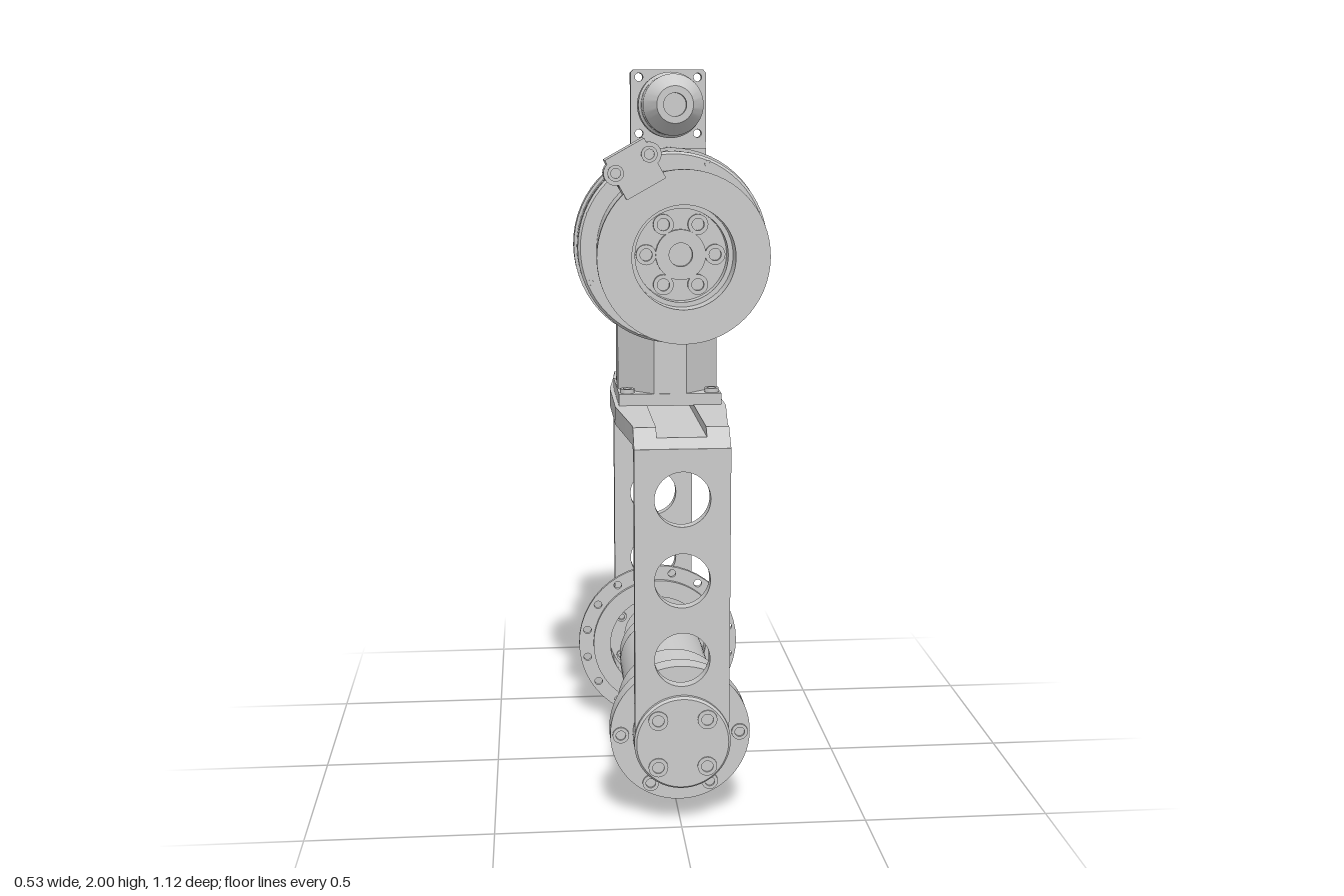
import * as THREE from 'three';
import { toCreasedNormals } from 'three/addons/utils/BufferGeometryUtils.js';

const material = new THREE.MeshStandardMaterial({ color: 0xcccccc });
const UP = 1.53, LOW = 0.25; // heights of the upper and lower axes

function add(parent, name, geometry, x = 0, y = 0, z = 0) {
  const mesh = new THREE.Mesh(toCreasedNormals(geometry, 0.5), material);
  mesh.name = name;
  mesh.position.set(x, y, z);
  parent.add(mesh);
  return mesh;
}

// Solid of revolution about z; points are [radius, z] from back to front
function turned(points, segments = 64) {
  return new THREE.LatheGeometry(points.map(p => new THREE.Vector2(...p)), segments).rotateX(Math.PI / 2);
}

function extrude(shape, depth) {
  return new THREE.ExtrudeGeometry(shape, { depth, bevelEnabled: false, curveSegments: 24 });
}

const poly = pts => new THREE.Shape(pts.map(p => new THREE.Vector2(...p)));

function hole(shape, x, y, r) {
  const path = new THREE.Path();
  path.absarc(x, y, r, 0, Math.PI * 2, true);
  shape.holes.push(path);
}

// Side profile in (z, y), extruded across x and centred on x
const acrossX = (shape, width) => extrude(shape, width).translate(0, 0, -width / 2).rotateY(-Math.PI / 2).scale(1, 1, 1);

// Socket-head bolt pointing to +z
function bolt(parent, x, y, z, r = 0.025, h = 0.012) {
  return add(parent, 'bolt', turned([[0, -0.015], [r, -0.015], [r, h], [r * 0.6, h], [r * 0.6, h - 0.012], [0, h - 0.012]], 20), x, y, z);
}

// Calls fn(x, y, angle) for n places round a circle
function ring(n, r, start, fn) {
  for (let i = 0; i < n; i++) {
    const a = start + (i / n) * Math.PI * 2;
    fn(Math.cos(a) * r, Math.sin(a) * r, a);
  }
}

function buildHead() {
  const g = new THREE.Group();
  g.name = 'upperUnit';
  g.position.y = UP;

  // Drum with a recessed front and a stepped ring behind it
  add(g, 'drum', turned([[0, 0.135], [0.255, 0.135], [0.255, 0.178], [0.247, 0.182], [0.247, 0.188], [0.255, 0.192],
    [0.255, 0.222], [0.248, 0.23], [0.205, 0.23], [0.205, 0.51], [0.217, 0.51], [0.217, 0.532], [0.13, 0.532],
    [0.13, 0.47], [0.118, 0.47], [0.118, 0.43], [0, 0.43]]));
  add(g, 'hub', turned([[0.064, 0.42], [0.064, 0.445], [0.03, 0.445], [0.03, 0.43], [0, 0.43]], 32));
  ring(6, 0.088, 0, (x, y) => bolt(g, x, y, 0.43, 0.026));
  ring(8, 0.24, Math.PI / 8, (x, y) => bolt(g, x, y, 0.222, 0.009, 0.01));

  // Mounting flange, flat at the bottom
  const flange = new THREE.Shape();
  flange.absarc(0, 0, 0.263, -0.947, Math.PI + 0.947, false);
  add(g, 'mountingFlange', extrude(flange, 0.06), 0, 0, 0.075);
  for (const a of [70, 25, -20, 110, 155, 200]) {
    const t = a * Math.PI / 180;
    bolt(g, Math.cos(t) * 0.22, Math.sin(t) * 0.22, 0.075, 0.025).rotation.y = Math.PI;
  }

  // Housing: flat on top, round underneath, bevelled towards the motor
  const housing = new THREE.Shape();
  housing.moveTo(0.1, 0.168);
  housing.lineTo(-0.1, 0.168);
  housing.lineTo(-0.168, 0.09);
  housing.lineTo(-0.168, 0);
  housing.absarc(0, 0, 0.168, Math.PI, Math.PI * 2, false);
  housing.lineTo(0.168, 0.09);
  add(g, 'housing', extrude(housing, 0.29), 0, 0, -0.21);
  add(g, 'housingBevel', turned([[0, -0.245], [0.147, -0.245], [0.168, -0.21], [0, -0.21]]));
  add(g, 'motorCover', turned([[0, -0.56], [0.112, -0.56], [0.128, -0.556], [0.139, -0.545], [0.143, -0.53], [0.143, -0.2]]));
  for (const s of [-1, 1]) {
    const plug = bolt(g, s * 0.122, -0.122, -0.175, 0.018, 0.008);
    plug.rotation.set(Math.PI / 4, s * Math.PI / 2, 0, 'ZYX');
    plug.lookAt(s, -1 + 0, -0.175);
    bolt(g, s * 0.08, 0.168, -0.18, 0.016, 0.006).rotation.x = -Math.PI / 2;
  }

  // Clamp block at the drum's front edge
  const clamp = new THREE.Group();
  clamp.name = 'clamp';
  clamp.rotation.z = 0.51;
  const side = poly([[0.415, 0.195], [0.56, 0.195], [0.56, 0.305], [0.455, 0.305], [0.415, 0.265]]);
  hole(side, 0.485, 0.25, 0.027);
  add(clamp, 'clampBlock', acrossX(side, 0.11));
  for (const x of [-0.047, 0.047]) {
    add(clamp, 'clampLug', turned([[0, 0.5], [0.03, 0.5], [0.03, 0.56], [0, 0.56]], 24), x, 0.265, 0);
    bolt(clamp, x, 0.265, 0.558, 0.02, 0.006);
  }
  g.add(clamp);
  return g;
}

function buildConnector() {
  const g = new THREE.Group();
  g.name = 'connector';
  g.position.y = 1.905;
  const plate = poly([[-0.103, -0.195], [0.103, -0.195], [0.103, 0.087], [0.095, 0.095], [-0.095, 0.095], [-0.103, 0.087]]);
  for (const x of [-0.08, 0.08]) for (const y of [-0.075, 0.075]) hole(plate, x, y, 0.011);
  add(g, 'connectorPlate', extrude(plate, 0.03), 0, 0, 0.04);
  add(g, 'plateFoot', new THREE.BoxGeometry(0.206, 0.08, 0.045), 0, -0.155, 0.055);
  // Tapered plug on both sides of the plate
  add(g, 'plug', turned([[0, -0.07], [0.03, -0.07], [0.03, -0.088], [0.046, -0.088], [0.08, -0.035], [0.08, 0.03],
    [0.073, 0.032], [0.073, 0.088], [0.08, 0.088], [0.087, 0.094], [0.087, 0.144], [0.08, 0.15], [0.073, 0.15],
    [0.073, 0.158], [0.08, 0.16], [0.08, 0.225], [0.048, 0.28], [0.03, 0.28], [0.03, 0.262], [0, 0.262]], 48));
  return g;
}

function buildYoke() {
  const g = new THREE.Group();
  g.name = 'yoke';

  // Legs with three round openings and a rounded foot
  const leg = new THREE.Shape();
  leg.moveTo(0.125, 1.04);
  leg.lineTo(-0.125, 1.04);
  leg.lineTo(-0.125, LOW);
  leg.absarc(0, LOW, 0.125, Math.PI, Math.PI * 2, false);
  for (const y of [0.475, 0.69, 0.907]) hole(leg, 0, y, 0.073);
  add(g, 'frontLeg', extrude(leg, 0.033), 0, 0, 0.475);
  add(g, 'rearLeg', extrude(leg, 0.033), 0, 0, -0.525);

  // Top bar with a lengthwise channel, bevelled outer and rounded inner corners
  const bar = top => {
    const c = 0.508 - (top - 1.038), s = new THREE.Shape();
    s.moveTo(0.508, 0.99);
    s.lineTo(0.508, 1.038);
    s.lineTo(c, top);
    s.lineTo(-c - 0.017, top);
    s.lineTo(-0.525, 1.038);
    s.lineTo(-0.525, 0.99);
    s.lineTo(-0.492, 0.99);
    s.quadraticCurveTo(-0.492, 1.038, -0.445, 1.038);
    s.lineTo(0.428, 1.038);
    s.quadraticCurveTo(0.475, 1.038, 0.475, 0.99);
    return s;
  };
  add(g, 'barChannel', acrossX(bar(1.065), 0.13));
  for (const s of [-1, 1]) {
    add(g, 'barRail', acrossX(bar(1.088), 0.06), s * 0.095);
    // Widening in the middle of the bar
    const wing = poly([[0.12, -0.44], [0.125, -0.44], [0.154, -0.15], [0.154, 0.15], [0.125, 0.43], [0.12, 0.43]].map(([x, z]) => [s * x, z]));
    add(g, 'barWing', extrude(wing, 0.05).rotateX(Math.PI / 2), 0, 1.088, 0);
    for (const z of [-0.115, 0.11]) {
      bolt(g, s * 0.118, 1.12, z, 0.02, 0.012).rotation.x = -Math.PI / 2;
      bolt(g, s * 0.085, 1.038, z, 0.028, 0.004).rotation.x = Math.PI / 2;
    }
  }

  // Eight-sided column on its foot plate
  add(g, 'columnFoot', new THREE.BoxGeometry(0.285, 0.034, 0.285), 0, 1.103, -0.005);
  const w = 0.14, n = 0.045;
  const column = poly([[w, -n], [w, n], [n, w], [-n, w], [-w, n], [-w, -n], [-n, -w], [n, -w]]);
  add(g, 'column', extrude(column, 0.33).rotateX(-Math.PI / 2), 0, 1.1, -0.005);
  return g;
}

function buildLowerUnit() {
  const g = new THREE.Group();
  g.name = 'lowerUnit';
  g.position.y = LOW;

  // Front barrel
  add(g, 'barrel', turned([[0, -0.208], [0.126, -0.208], [0.126, -0.145], [0.122, -0.143], [0.122, -0.138], [0.128, -0.136],
    [0.128, 0.205], [0.135, 0.21], [0.15, 0.21], [0.156, 0.217], [0.156, 0.395], [0.188, 0.395], [0.188, 0.452], [0.128, 0.452],
    [0.128, 0.518], [0.122, 0.525], [0, 0.525]]));
  ring(6, 0.16, 0, (x, y) => bolt(g, x, y, 0.452, 0.022, 0.006));
  ring(6, 0.16, 0, (x, y, a) => {
    add(g, 'barrelRib', new THREE.BoxGeometry(0.02, 0.025, 0.04), x, y, 0.376).rotation.z = a;
  });

  // Rear cap and dish floor
  add(g, 'rearCap', turned([[0, -0.53], [0.122, -0.53], [0.128, -0.524], [0.128, -0.412], [0.15, -0.4], [0.175, -0.4],
    [0.175, -0.38], [0.1, -0.38], [0.1, -0.392], [0, -0.392]]));
  add(g, 'dishHub', turned([[0.05, -0.4], [0.05, -0.375], [0.025, -0.375], [0.025, -0.39], [0, -0.39]], 32));
  ring(6, 0.075, 0, (x, y) => bolt(g, x, y, -0.39, 0.017));
  ring(6, 0.128, Math.PI / 6, (x, y) => bolt(g, x, y, -0.38, 0.016, 0.01));

  // Posts between the openings in the dish wall
  for (let i = 0; i < 6; i++) {
    const a = (i + 0.5) * Math.PI / 3, half = 0.24, post = new THREE.Shape();
    post.absarc(0, 0, 0.168, a - half, a + half, false);
    post.absarc(0, 0, 0.15, a + half, a - half, true);
    add(g, 'dishPost', extrude(post, 0.06), 0, 0, -0.385);
  }

  // Drilled flange and its raised lip
  const flange = new THREE.Shape();
  flange.absarc(0, 0, 0.248, 0, Math.PI * 2, false);
  hole(flange, 0, 0, 0.15);
  ring(16, 0.226, Math.PI / 16, (x, y) => hole(flange, x, y, 0.012));
  add(g, 'dishFlange', extrude(flange, 0.014), 0, 0, -0.322);
  add(g, 'dishLip', turned([[0.15, -0.34], [0.175, -0.34], [0.175, -0.315], [0.203, -0.315], [0.203, -0.295], [0.15, -0.295], [0.15, -0.34]]));

  // Cap bolts on both ends
  ring(4, 0.092, Math.PI / 4, (x, y) => {
    bolt(g, x, y, 0.525, 0.026, 0.004);
    bolt(g, x, y, -0.53, 0.026, 0.004).rotation.y = Math.PI;
  });
  return g;
}

export function createModel() {
  const model = new THREE.Group();
  model.name = 'mountedHead';
  model.add(buildHead(), buildConnector(), buildYoke(), buildLowerUnit());
  return model;
}
